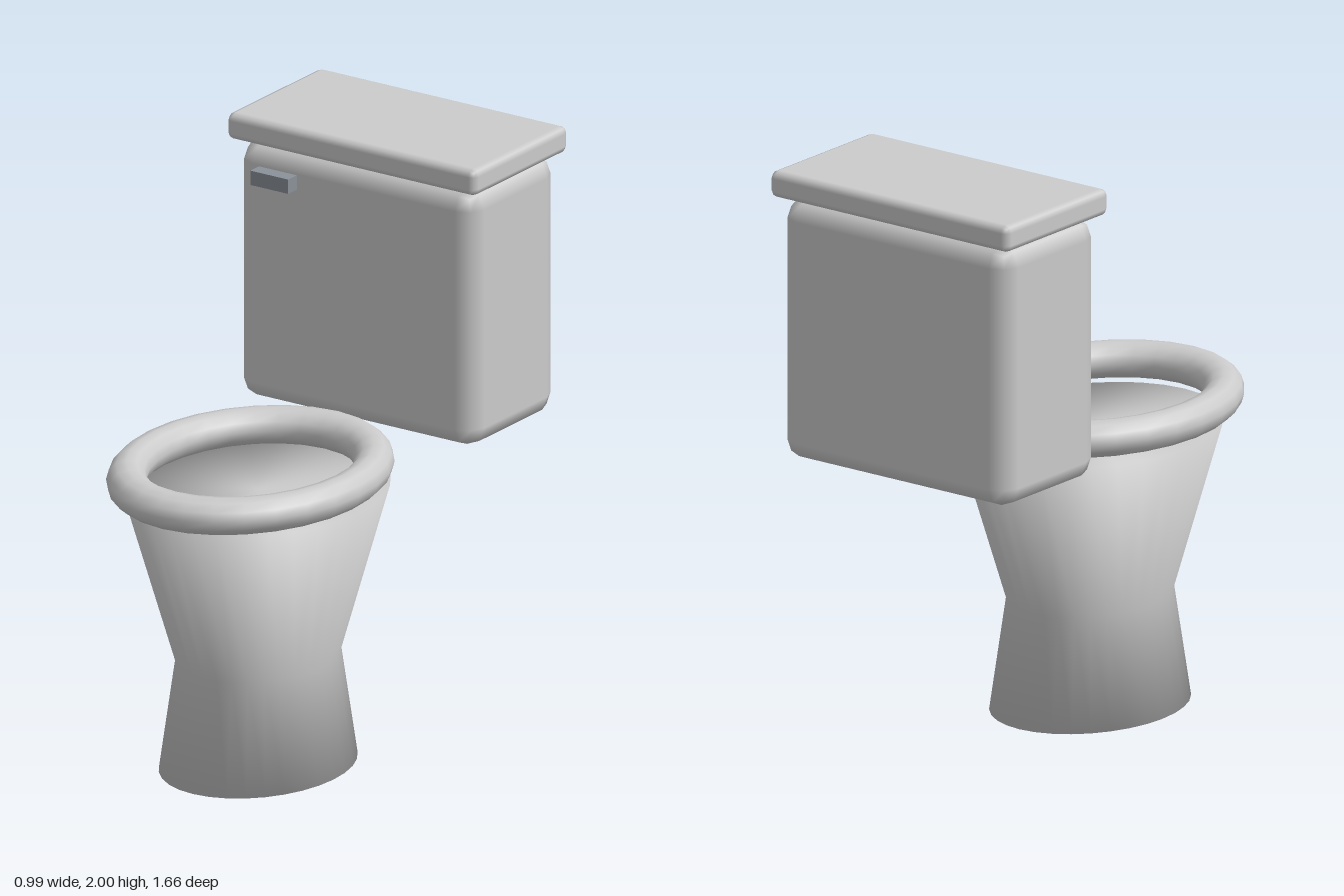
import * as THREE from 'three';
import { RoundedBoxGeometry } from 'three/addons/geometries/RoundedBoxGeometry.js';

export function createModel() {
  const group = new THREE.Group();
  const ceramic = new THREE.MeshStandardMaterial({ color: 0xcccccc });
  const metal = new THREE.MeshStandardMaterial({ color: 0x8a9299 });

  const add = (name, geometry, material, x, y, z) => {
    const mesh = new THREE.Mesh(geometry, material);
    mesh.name = name;
    mesh.position.set(x, y, z);
    group.add(mesh);
  };

  // Bowl and pedestal: one closed turned profile, stretched front to back
  const profile = [[0, 0], [0.3, 0], [0.25, 0.38], [0.4, 0.95], [0, 0.95]]
    .map(([r, y]) => new THREE.Vector2(r, y));
  const bowl = new THREE.LatheGeometry(profile, 32).scale(1, 1, 1.25);
  add('bowl', bowl, ceramic, 0, 0, 0.24);

  // Seat: oval ring floating just above the rim
  const seat = new THREE.TorusGeometry(0.373, 0.062, 12, 28)
    .rotateX(Math.PI / 2)
    .scale(1, 1, 1.25);
  add('seat', seat, ceramic, 0, 1.03, 0.285);

  // Tank and its overhanging lid, with coarse bevelled edges
  add('tank', new RoundedBoxGeometry(0.944, 0.9, 0.5, 1, 0.07), ceramic, 0, 1.455, -0.56);
  add('tankLid', new RoundedBoxGeometry(0.992, 0.093, 0.544, 1, 0.025), ceramic, 0, 1.953, -0.56);

  // Flush lever on the upper right of the tank front
  add('flushLever', new THREE.BoxGeometry(0.15, 0.05, 0.06), metal, -0.302, 1.806, -0.29);

  return group;
}
